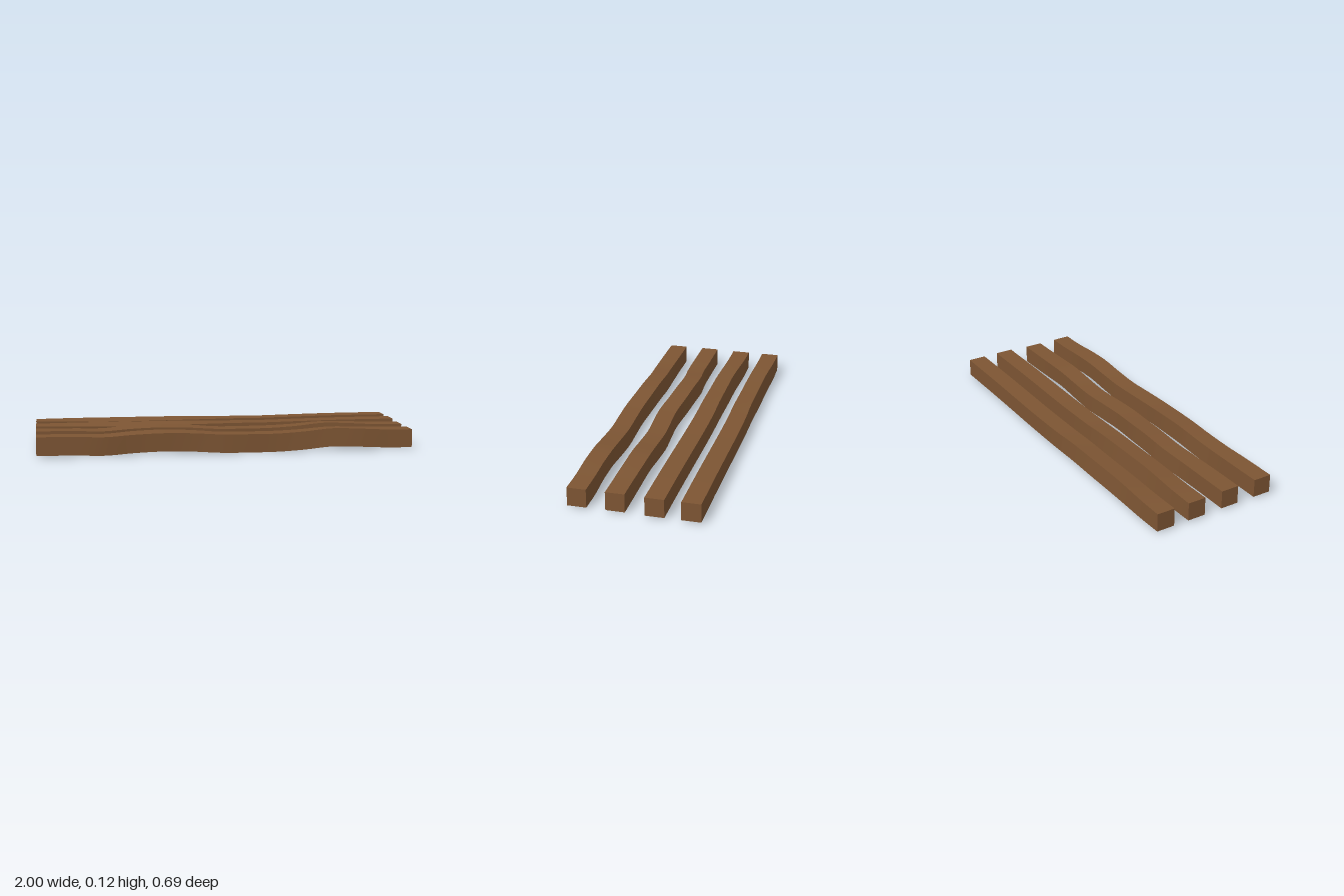
import * as THREE from 'three';

// Stations along a beam: [x, centre y, centre z offset, twist about x]
const wavy = (s, z) => [
  [-1, .067, 0, 0], [-.8, .065, 0, 0], [-.65, .061, 0, .03], [-.5, .07, -.012 * s, .05],
  [-.35, .075, -.01 * s, .05], [-.2, .071, -.004 * s, .03], [-.03, .06, .009 * s, 0], [.1, .058, .004 * s, 0],
  [.25, .057, -.004 * s, 0], [.4, .064, -.003 * s, -.02], [.55, .076, -.003 * s, -.05],
  [.7, .072, -.002 * s, -.03], [.85, .065, z, 0], [.99, .063, z, 0],
];
const twisted = (s) => [
  [-1, .065, 0, 0], [-.85, .064, -.002, .05], [-.7, .063, .002 * s, .1], [-.58, .062, .005 * s, .12],
  [-.4, .062, .003 * s, .11], [-.2, .062, .002, .08], [-.05, .06, 0, .03], [.1, .06, -.001, .01],
  [.25, .059, 0, 0], [.45, .062, 0, 0], [.7, .065, 0, 0], [1, .065, 0, 0],
];

// Square beam whose cross-sections follow the stations
function beam(name, z, stations, material) {
  const path = new THREE.CatmullRomCurve3(stations.map(([x, y, dz]) => new THREE.Vector3(x, y, z + dz)));
  const twist = new THREE.CatmullRomCurve3(stations.map(([x, , , t]) => new THREE.Vector3(x, t, 0)));
  const geometry = new THREE.BoxGeometry(1, .097, .098, 48, 1, 1);
  const pos = geometry.attributes.position;
  const v = new THREE.Vector3();
  for (let i = 0; i < pos.count; i++) {
    v.fromBufferAttribute(pos, i);
    const t = THREE.MathUtils.clamp(v.x + .5, 0, 1);
    const centre = path.getPoint(t);
    const a = twist.getPoint(t).y, c = Math.cos(a), s = Math.sin(a);
    pos.setXYZ(i, centre.x, centre.y + v.y * c - v.z * s, centre.z + v.y * s + v.z * c);
  }
  geometry.computeVertexNormals();
  const mesh = new THREE.Mesh(geometry, material);
  mesh.name = name;
  return mesh;
}

export function createModel() {
  const group = new THREE.Group();
  group.name = 'woodenBeams';
  const wood = new THREE.MeshStandardMaterial({ color: 0x7d5533 });
  group.add(
    beam('frontBeam', .288, wavy(.7, -.006), wood),
    beam('frontMiddleBeam', .088, wavy(1.1, 0), wood),
    beam('backMiddleBeam', -.111, twisted(1), wood),
    beam('backBeam', -.292, twisted(.4), wood),
  );
  return group;
}
